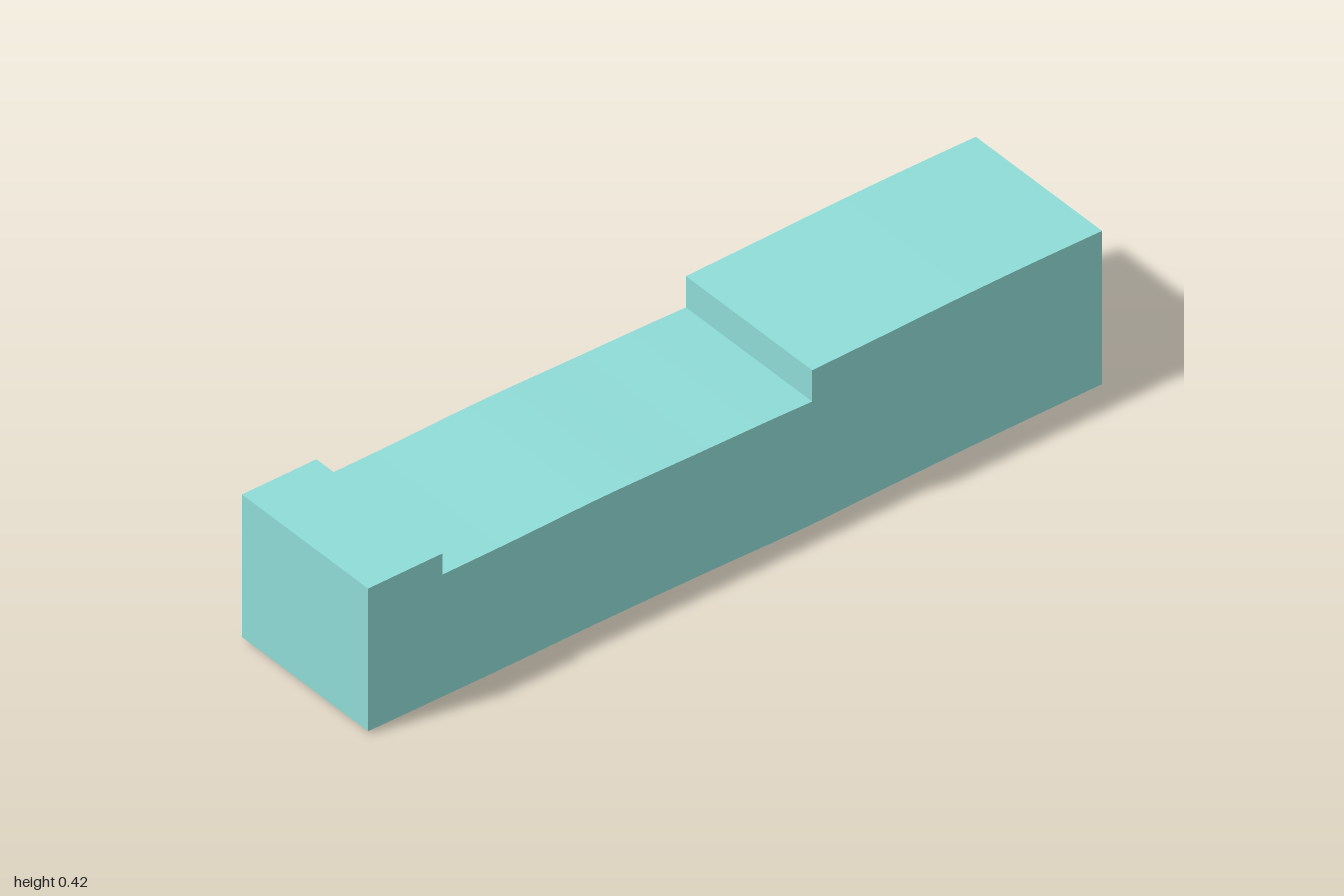
import * as THREE from 'three';

const WIDTH = 0.432;

export function createModel() {
  const group = new THREE.Group();
  const material = new THREE.MeshStandardMaterial({ color: 0x8fdcd7 });
  const points = (list) => list.map(([z, y]) => new THREE.Vector2(z, y));

  // Side profile: first coordinate is z, second is y
  const profile = new THREE.Shape();
  // gently wavy underside, back to front
  profile.moveTo(-1, 0.008);
  profile.splineThru(points([
    [-0.7, 0.008], [-0.4, 0.004], [-0.18, 0], [0.05, 0.004], [0.35, 0.007], [0.65, 0.006], [1, 0.008],
  ]));
  // raised front lip
  profile.lineTo(1, 0.386);
  profile.lineTo(0.797, 0.386);
  profile.lineTo(0.797, 0.33);
  // sunken middle, slightly wavy
  profile.splineThru(points([
    [0.6, 0.331], [0.35, 0.335], [0.1, 0.331], [-0.1, 0.328], [-0.21, 0.325],
  ]));
  // raised rear block
  profile.lineTo(-0.21, 0.408);
  profile.splineThru(points([[-0.4, 0.411], [-0.6, 0.415], [-0.8, 0.416], [-1, 0.414]]));
  profile.lineTo(-1, 0.008);

  // Extrude across the width
  const geometry = new THREE.ExtrudeGeometry(profile, { depth: WIDTH, bevelEnabled: false, curveSegments: 4 });
  geometry.translate(0, 0, -WIDTH / 2);
  geometry.rotateY(-Math.PI / 2);

  const body = new THREE.Mesh(geometry, material);
  body.name = 'steppedBlock';
  group.add(body);
  return group;
}
